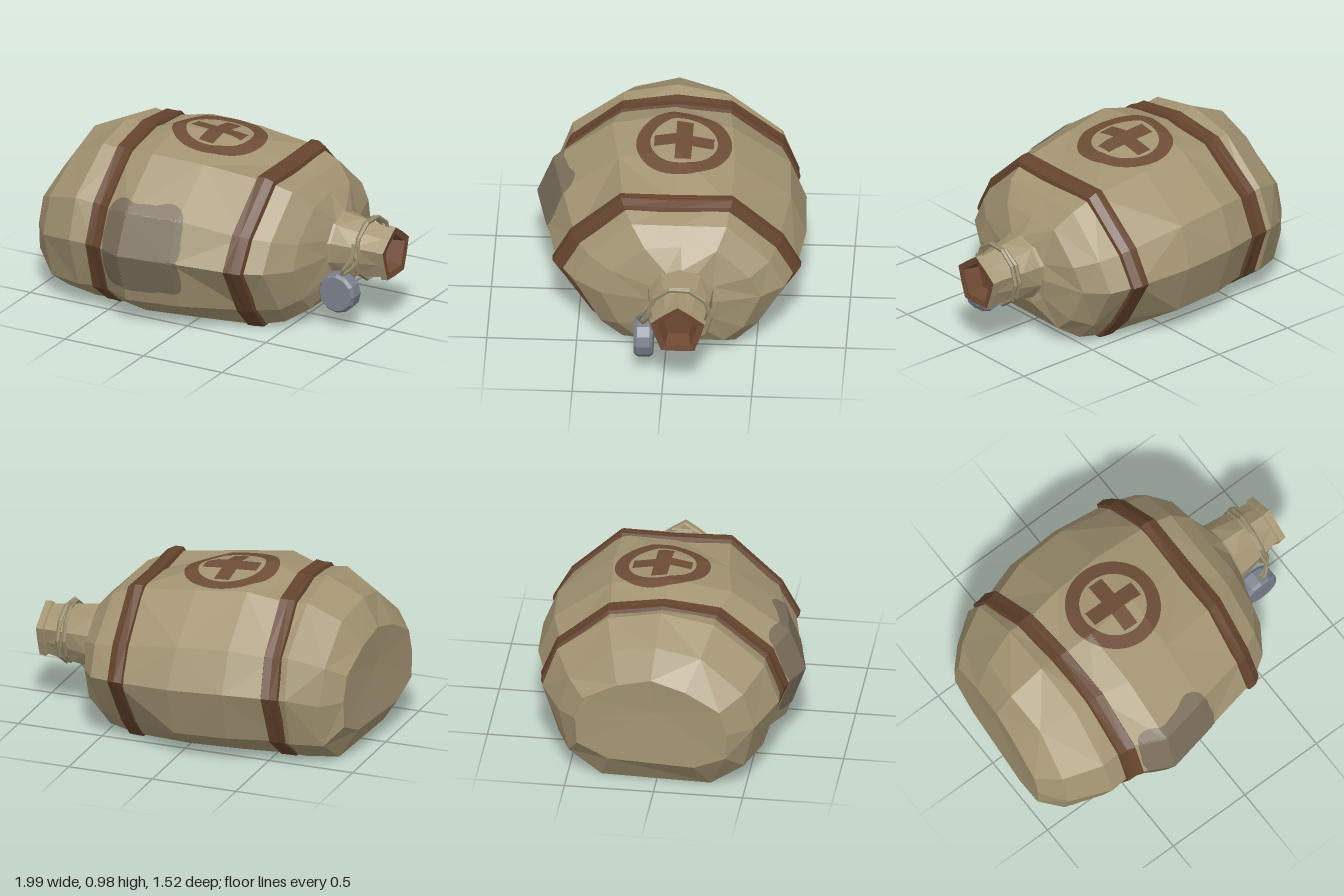
import * as THREE from 'three';
import { mergeGeometries } from 'three/addons/utils/BufferGeometryUtils.js';

const mat = (name, color) => {
  const m = new THREE.MeshStandardMaterial({ color, flatShading: true });
  m.name = name;
  return m;
};

// Small seeded generator for the hand-shaped unevenness
let seed = 7;
const rand = () => {
  seed = (seed * 16807) % 2147483647;
  return seed / 2147483647 * 2 - 1;
};

// Skin through rings of points; rings run along +x, points run top -> +z -> bottom -> -z
function loft(rows, capStart, capEnd) {
  const pos = [];
  const tri = (...pts) => pts.forEach(p => pos.push(...p));
  const n = rows[0].length;
  for (let i = 0; i < rows.length - 1; i++) {
    for (let j = 0; j < n; j++) {
      const k = (j + 1) % n;
      const a = rows[i][j], b = rows[i][k], c = rows[i + 1][j], d = rows[i + 1][k];
      if ((i + j) % 2) { tri(a, b, c); tri(b, d, c); }
      else { tri(a, b, d); tri(a, d, c); }
    }
  }
  const cap = (row, centre, flip) => {
    for (let j = 0; j < n; j++) {
      const a = row[j], b = row[(j + 1) % n];
      flip ? tri(centre, b, a) : tri(centre, a, b);
    }
  };
  if (capStart) cap(rows[0], capStart, true);
  if (capEnd) cap(rows[rows.length - 1], capEnd, false);
  const g = new THREE.BufferGeometry();
  g.setAttribute('position', new THREE.Float32BufferAttribute(pos, 3));
  g.computeVertexNormals();
  return g;
}

// Body stations: x, top, bottom, back z, front z, lean of x with z, pinch
const STATIONS = [
  [-0.962, 0.69, 0.16, -0.45, 0.41, -0.08, -0.8],
  [-0.855, 0.85, 0.005, -0.56, 0.55, -0.045, -0.2],
  [-0.66, 0.95, 0.005, -0.67, 0.66, 0, 0],
  [-0.54, 0.915, 0.005, -0.66, 0.645, 0.045, 0.3],
  [-0.31, 0.975, 0.005, -0.74, 0.755, 0, 0],
  [0.0, 0.95, 0.005, -0.755, 0.69, 0, 0],
  [0.35, 0.86, 0.005, -0.715, 0.615, 0.01, 1],
  [0.50, 0.81, 0.035, -0.66, 0.52, 0, 0.8],
  [0.60, 0.72, 0.10, -0.53, 0.36, 0, 0.5],
  [0.665, 0.61, 0.23, -0.29, 0.10, 0, 0],
];

// One cross-section of the body, optionally enlarged by out; pinch makes it more of a diamond
function section([x, top, bot, zb, zf, lean, pinch], out = 0) {
  const mid = (zf + zb) / 2, half = (zf - zb) / 2 + out;
  const t = top + out, b = Math.max(0, bot - out);
  const side = [
    [0.45, 0.94 + 0.05 * pinch], [0.88 - 0.03 * pinch, 0.70], [1, 0.46 + 0.03 * pinch],
    [0.86 - 0.15 * pinch, 0.15], [0.55 - 0.02 * pinch, 0],
  ];
  const ring = [[0, 1 - 0.025 * Math.max(0, pinch)], ...side, ...side.map(([u, v]) => [-u, v]).reverse()];
  return ring.map(([u, v]) => {
    const z = mid + u * half;
    return [x + lean * z, b + (t - b) * v, z];
  });
}

function stationAt(x) {
  let i = 0;
  while (i < STATIONS.length - 2 && STATIONS[i + 1][0] < x) i++;
  const a = STATIONS[i], b = STATIONS[i + 1], t = (x - a[0]) / (b[0] - a[0]);
  return a.map((v, k) => v + (b[k] - v) * t);
}

// Five-cornered ring round the neck axis; flat = 0.81 gives straight sides, 1 a rounder ring
function neckRing(x, r, flat = 0.81) {
  return Array.from({ length: 10 }, (_, i) => {
    const a = i / 10 * Math.PI * 2, q = i % 2 ? r * flat : r;
    return [x, 0.425 + q * Math.cos(a), -0.088 + q * Math.sin(a)];
  });
}

export function createModel() {
  const group = new THREE.Group();
  const hide = mat('tan hide', 0xa39472);
  const leather = mat('brown leather', 0x64442d);
  const paint = mat('brown paint', 0x6d4d36);
  const stain = mat('dull patch', 0x7c6f5c);
  const steel = mat('grey steel', 0x7a808c);
  const cord = mat('cord', 0x958a6b);
  const inner = mat('mouth brown', 0x704a34);

  const add = (name, geo, m, parent = group) => {
    const mesh = new THREE.Mesh(geo, m);
    mesh.name = name;
    parent.add(mesh);
    return mesh;
  };

  // Faceted body, slightly uneven away from the straps; the strap rows lean with height
  const slant = ([x, y, z]) => [x + 0.035 * (y - 0.45), y, z];
  const rows = STATIONS.map((s, i) => section(s).map(p => {
    if (i === 3 || i === 6) return slant(p);
    return [p[0] + (i ? rand() * 0.015 : 0), p[1], p[2]];
  }));
  const body = add('body', loft(rows, [-0.95, 0.48, 0.0], [0.68, 0.42, -0.09]), hide);
  body.updateMatrixWorld();

  // Leather straps round the body
  for (const [x0, lean] of [[-0.54, 0.045], [0.345, 0.01]]) {
    const strap = [[-0.055, -0.01], [-0.045, 0.02], [0, 0.026], [0.045, 0.02], [0.055, -0.01]]
      .map(([dx, out]) => {
        const s = stationAt(x0 + dx);
        s[5] = lean;
        return section(s, out).map(slant);
      });
    add('strap', loft(strap), leather);
  }

  // Lay a thin sheet on the body along one axis
  const ray = new THREE.Raycaster();
  const drape = (geo, axis) => {
    const p = geo.attributes.position, dir = new THREE.Vector3(), v = new THREE.Vector3();
    dir.setComponent(axis, -1);
    for (let i = 0; i < p.count; i++) {
      v.fromBufferAttribute(p, i).setComponent(axis, 3);
      ray.set(v, dir);
      const hit = ray.intersectObject(body)[0];
      if (hit) p.setComponent(i, axis, hit.point.getComponent(axis) + 0.007);
    }
    geo.computeVertexNormals();
    return geo;
  };

  // Painted ring and plus on the top
  const bar = (w, h, x, y) => new THREE.PlaneGeometry(w, h, 16, 16).translate(x, y, 0);
  const mark = mergeGeometries([
    new THREE.RingGeometry(0.188, 0.267, 96, 10),
    bar(0.32, 0.092, 0, 0),
    bar(0.09, 0.12, 0, 0.106), bar(0.09, 0.12, 0, -0.106),
  ]);
  mark.rotateX(-Math.PI / 2).translate(-0.108, 0, -0.068);
  add('paintedMark', drape(mark, 1), paint);

  // Worn patch on the front, a rounded square with a soft wavy edge
  const patch = new THREE.RingGeometry(0.001, 1, 96, 40);
  const pp = patch.attributes.position;
  for (let i = 0; i < pp.count; i++) {
    const x = pp.getX(i), y = pp.getY(i), a = Math.atan2(y, x);
    const c = Math.abs(Math.cos(a)), s = Math.abs(Math.sin(a));
    const r = (1 + 0.02 * Math.sin(a * 7) + 0.012 * Math.sin(a * 13)) / (c ** 7 + s ** 7) ** (1 / 7);
    pp.setXY(i, -0.205 + x * r * 0.24, 0.475 + y * r * 0.25);
  }
  add('wornPatch', drape(patch, 2), stain);

  // Neck, round at the base and five-sided at the flared lip, and the hollow mouth
  add('neck', loft([[0.6, 0.215, 1], [0.68, 0.187, 0.97], [0.8, 0.172, 0.9], [0.955, 0.148, 0.84],
    [0.962, 0.163, 0.83], [1, 0.158, 0.83]].map(a => neckRing(...a))), hide);
  add('mouth', loft([[1, 0.158, 0.83], [0.995, 0.118], [0.9, 0.1]]
    .map(a => neckRing(...a)), null, [0.9, 0.425, -0.088]), inner);

  // Cord wound round the neck and hanging down to the cap
  const cords = new THREE.Group();
  cords.name = 'cords';
  group.add(cords);
  for (const [x, tilt, r] of [[0.832, 0.04, 0.17], [0.85, -0.06, 0.176]]) {
    const loop = add('neckCord', new THREE.TorusGeometry(r, 0.013, 5, 10), cord, cords);
    loop.rotation.set(0, Math.PI / 2 + tilt, 0);
    loop.position.set(x, 0.43, -0.09);
  }
  for (const d of [0, 0.03]) {
    const path = new THREE.CatmullRomCurve3([
      new THREE.Vector3(0.85 - d, 0.5, 0.07),
      new THREE.Vector3(0.855 - d, 0.42, 0.085 + d),
      new THREE.Vector3(0.82 - d, 0.36, 0.11 + d),
      new THREE.Vector3(0.77, 0.32, 0.12),
    ]);
    add('hangingCord', new THREE.TubeGeometry(path, 8, 0.011, 5), cord, cords);
  }

  // Steel cap with bevelled rims
  const capProfile = [[0, -0.053], [0.1, -0.053], [0.115, -0.035], [0.115, 0.035], [0.1, 0.053], [0, 0.053]]
    .map(([r, y]) => new THREE.Vector2(r, y));
  const cap = add('cap', new THREE.LatheGeometry(capProfile, 12), steel);
  cap.rotation.x = Math.PI / 2;
  cap.position.set(0.755, 0.22, 0.112);

  return group;
}
